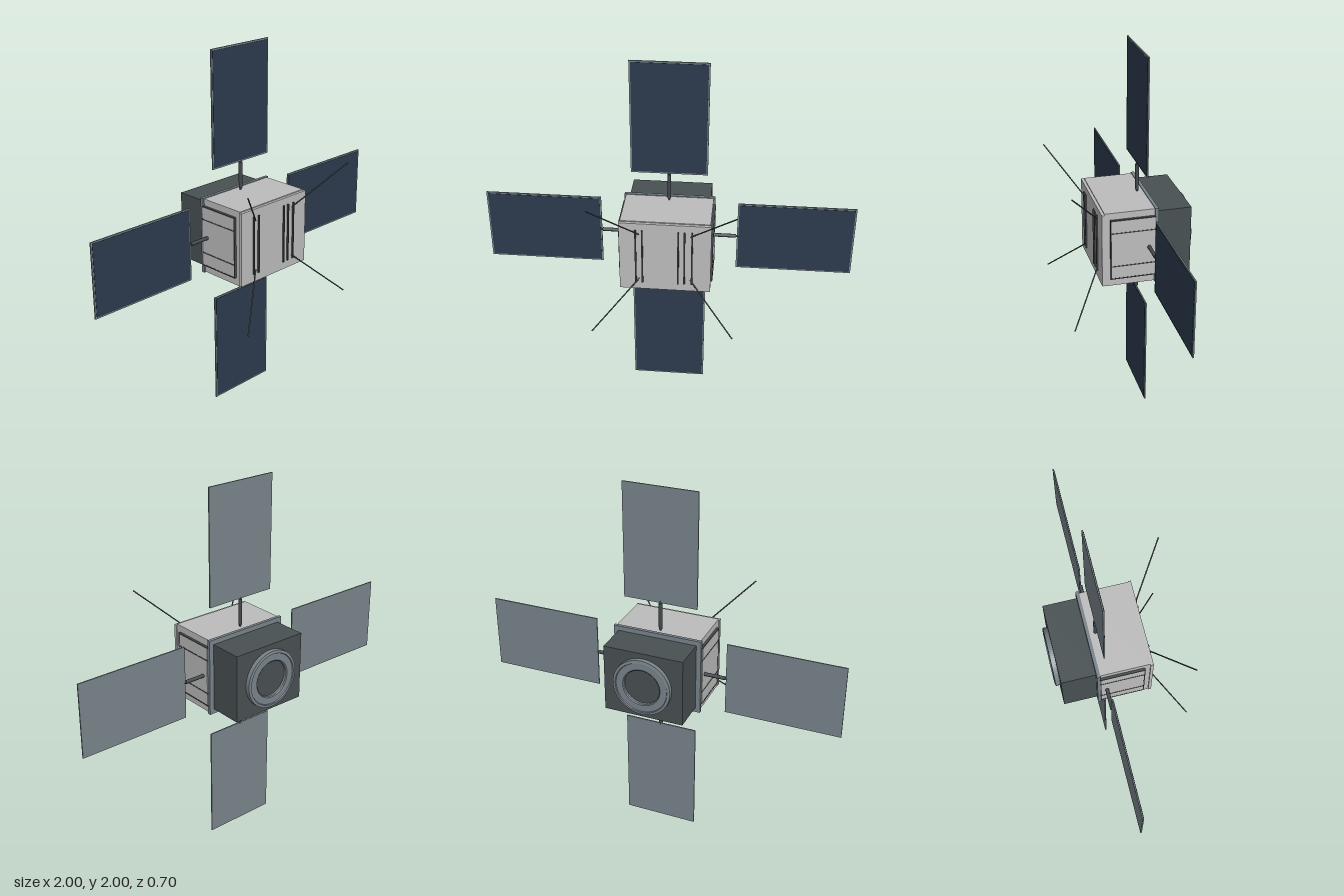
import * as THREE from 'three';

const mat = (name, color) => {
  const m = new THREE.MeshStandardMaterial({ color });
  m.name = name;
  return m;
};

export function createModel() {
  const hull = mat('hull grey', 0xbcbcbc);
  const steel = mat('blue grey metal', 0x78838a);
  const dark = mat('dark casing', 0x485052);
  const rail = mat('dark trim', 0x41484c);
  const cells = mat('navy solar cells', 0x2c3b4e);

  const model = new THREE.Group();
  model.name = 'satellite';
  const CY = 1, PZ = -0.085;

  const add = (parent, name, geo, material, x = 0, y = 0, z = 0) => {
    const m = new THREE.Mesh(geo, material);
    m.name = name;
    m.position.set(x, y, z);
    parent.add(m);
    return m;
  };
  // box given by its minimum and maximum corners
  const box = (parent, name, material, [x0, y0, z0], [x1, y1, z1]) =>
    add(parent, name, new THREE.BoxGeometry(x1 - x0, y1 - y0, z1 - z0), material,
      (x0 + x1) / 2, (y0 + y1) / 2, (z0 + z1) / 2);
  // thin round rod between two points
  const rod = (parent, name, material, a, b, r) => {
    const p = new THREE.Vector3(...a), q = new THREE.Vector3(...b);
    const d = q.clone().sub(p);
    const m = add(parent, name, new THREE.CylinderGeometry(r, r, d.length(), 12), material);
    m.position.copy(p).add(q).multiplyScalar(0.5);
    m.quaternion.setFromUnitVectors(new THREE.Vector3(0, 1, 0), d.normalize());
    return m;
  };

  // Main body, front plate and rear flange
  const body = new THREE.Group();
  body.name = 'body';
  body.position.y = CY;
  model.add(body);
  box(body, 'bodyCore', hull, [-0.237, -0.21, -0.12], [0.237, 0.21, 0.15]);
  box(body, 'frontPlate', hull, [-0.243, -0.205, 0.15], [0.243, 0.205, 0.166]);
  box(body, 'rearFlange', steel, [-0.246, -0.214, -0.135], [0.246, 0.214, -0.117]);

  // Vertical fins on the front plate
  for (const x of [-0.155, -0.12, 0.07, 0.103, 0.143])
    box(body, 'frontFin', rail, [x - 0.004, -0.16, 0.166], [x + 0.004, 0.165, 0.174]);

  // Side plates, divided into rows by trim rails
  const rows = [-0.165, -0.093, 0.098, 0.17];
  for (const s of [-1, 1]) {
    const side = new THREE.Group();
    side.name = s > 0 ? 'leftSide' : 'rightSide';
    body.add(side);
    const at = s * 0.243;
    for (let i = 0; i < 3; i++)
      add(side, 'sidePlate', new THREE.BoxGeometry(0.013, rows[i + 1] - rows[i] - 0.006, 0.233), hull,
        at, (rows[i] + rows[i + 1]) / 2, 0);
    for (const y of rows)
      add(side, 'sideRail', new THREE.BoxGeometry(0.016, 0.006, 0.24), rail, at, y, 0);
    add(side, 'sideRailFront', new THREE.BoxGeometry(0.016, 0.341, 0.005), rail, at, 0.0025, 0.119);
  }

  // Rear equipment box with its docking ring
  box(body, 'rearBox', dark, [-0.22, -0.188, -0.32], [0.22, 0.188, -0.13]);
  const profile = [[0.1, 0], [0.16, 0], [0.16, 0.024], [0.145, 0.027], [0.142, 0.022], [0.105, 0.022], [0.1, 0.018], [0.1, 0]];
  // repeated points keep the ring's profile edges sharp
  const sharp = profile.slice(1).flatMap((p, i) => [profile[i], p]).map(p => new THREE.Vector2(...p));
  const ring = add(body, 'dockingRing', new THREE.LatheGeometry(sharp, 48), steel, 0, 0, -0.32);
  ring.rotation.x = -Math.PI / 2;
  const disc = add(body, 'ringCentre', new THREE.CylinderGeometry(0.1, 0.1, 0.006, 48), dark, 0, 0, -0.322);
  disc.rotation.x = Math.PI / 2;

  // Four solar wings, each built pointing up and turned about the body centre
  for (let i = 0; i < 4; i++) {
    const wing = new THREE.Group();
    wing.name = ['topWing', 'rightWing', 'bottomWing', 'leftWing'][i];
    wing.position.set(0, CY, PZ);
    wing.rotation.z = i * Math.PI / 2;
    model.add(wing);
    box(wing, 'panelFrame', steel, [-0.204, 0.37, -0.004], [0.204, 1, 0.003]);
    box(wing, 'solarCells', cells, [-0.196, 0.378, 0.003], [0.196, 0.992, 0.005]);
    rod(wing, 'wingPin', rail, [0, 0.2, 0], [0, 0.38, 0], 0.005);
    rod(wing, 'wingStrut', rail, [0, 0.222, 0], [0, 0.366, 0], 0.01);
  }

  // Four splayed antennas on the front corners
  for (const sx of [-1, 1]) for (const sy of [-1, 1])
    rod(body, 'antenna', rail, [sx * 0.135, sy * 0.137, 0.163], [sx * 0.375, sy * 0.374, 0.345], 0.0035);

  return model;
}
